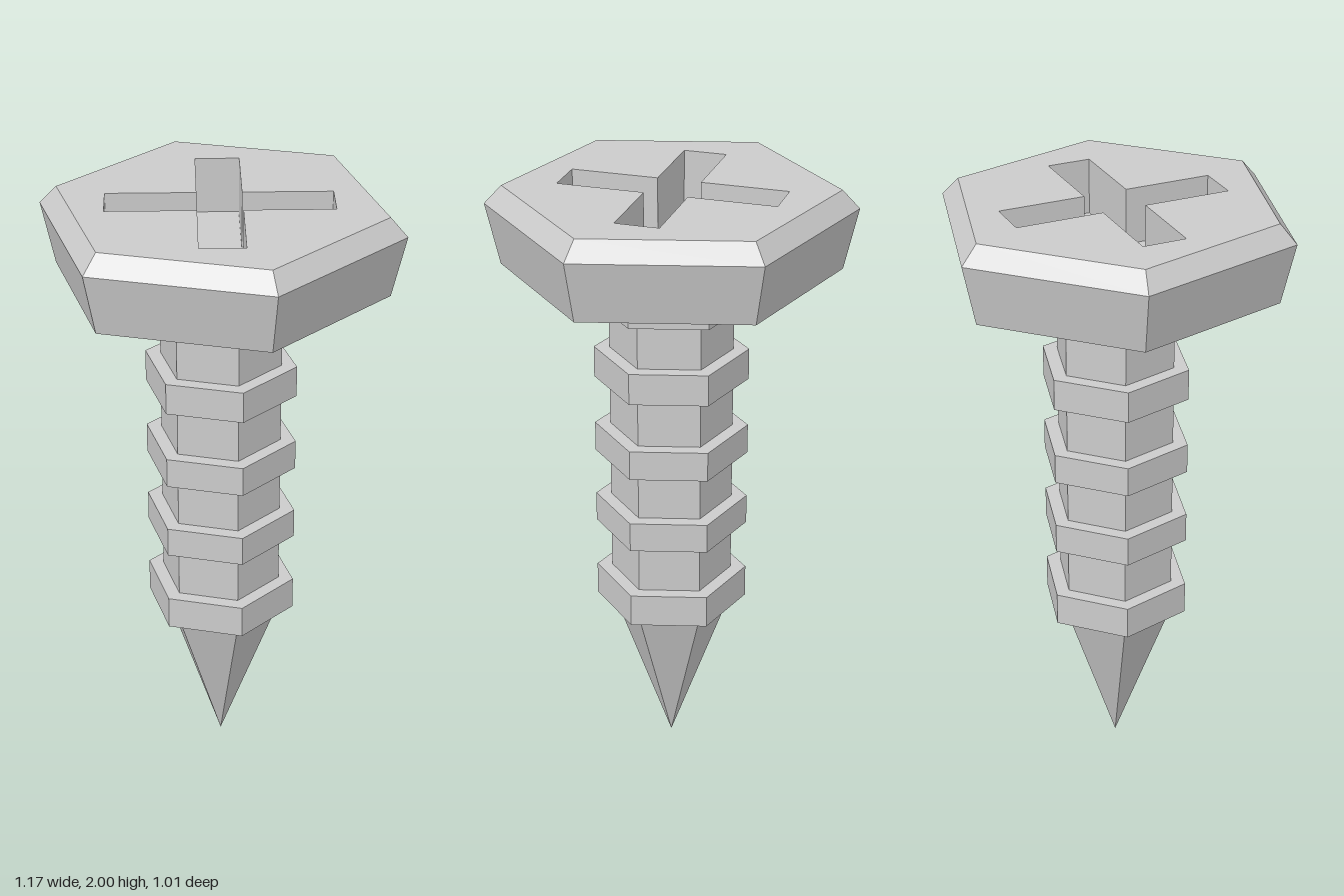
import * as THREE from 'three';

const material = new THREE.MeshStandardMaterial({ color: 0xcccccc, flatShading: true });
const TOP = 2, FLOOR = 1.815;

// Six-sided turned part with corners on the x axis; profile runs bottom to top
function hexLathe(name, profile) {
  const points = profile.map(([r, y]) => new THREE.Vector2(r, y));
  const mesh = new THREE.Mesh(new THREE.LatheGeometry(points, 6, Math.PI / 2), material);
  mesh.name = name;
  return mesh;
}

// Flat outline laid horizontally at height y, facing up
function flatFace(name, shape, y) {
  const mesh = new THREE.Mesh(new THREE.ShapeGeometry(shape).rotateX(-Math.PI / 2), material);
  mesh.position.y = y;
  mesh.name = name;
  return mesh;
}

// Diagonal cross outline, counter-clockwise
function crossPoints(length, half, cy) {
  const points = [];
  for (let k = 0; k < 4; k++) {
    const a = Math.PI / 4 + k * Math.PI / 2, c = Math.cos(a), s = Math.sin(a);
    for (const [u, v] of [[length, -half], [length, half], [half, half]]) {
      points.push(new THREE.Vector2(u * c - v * s, u * s + v * c + cy));
    }
  }
  return points;
}

// Vertical walls facing into the recess
function recessWalls(outline) {
  const positions = [];
  outline.forEach((a, i) => {
    const b = outline[(i + 1) % outline.length];
    const aT = [a.x, TOP, -a.y], bT = [b.x, TOP, -b.y];
    const aB = [a.x, FLOOR, -a.y], bB = [b.x, FLOOR, -b.y];
    positions.push(...aT, ...bT, ...bB, ...aT, ...bB, ...aB);
  });
  const geometry = new THREE.BufferGeometry();
  geometry.setAttribute('position', new THREE.Float32BufferAttribute(positions, 3));
  geometry.computeVertexNormals();
  const mesh = new THREE.Mesh(geometry, material);
  mesh.name = 'recessWalls';
  return mesh;
}

export function createModel() {
  const screw = new THREE.Group();
  screw.name = 'screw';

  // Pointed tip
  screw.add(hexLathe('tip', [[0, 0], [0.2, 0.55]]));

  // Shank with five raised thread rings
  const rings = [[0.55, 0.66], [0.83, 0.93], [1.09, 1.19], [1.355, 1.46], [1.615, 1.74]];
  const profile = rings.flatMap(([y0, y1]) => [[0.2, y0], [0.25, y0], [0.25, y1], [0.2, y1]]);
  screw.add(hexLathe('threadedShank', profile.slice(0, -1)));

  // Head: underside, flared sides and chamfer
  const head = new THREE.Group();
  head.name = 'head';
  head.add(hexLathe('headSides', [[0.2, 1.74], [0.54, 1.74], [0.586, 1.94], [0.53, TOP]]));

  // Top face pierced by the cross recess
  const cross = crossPoints(0.356, 0.071, 0.004);
  const hexagon = Array.from({ length: 6 }, (_, k) =>
    new THREE.Vector2(0.53 * Math.cos(k * Math.PI / 3), 0.53 * Math.sin(k * Math.PI / 3)));
  const topShape = new THREE.Shape(hexagon);
  topShape.holes.push(new THREE.Path(cross));
  head.add(flatFace('headTop', topShape, TOP));
  head.add(flatFace('recessFloor', new THREE.Shape(cross), FLOOR));
  head.add(recessWalls(cross));
  screw.add(head);

  return screw;
}
